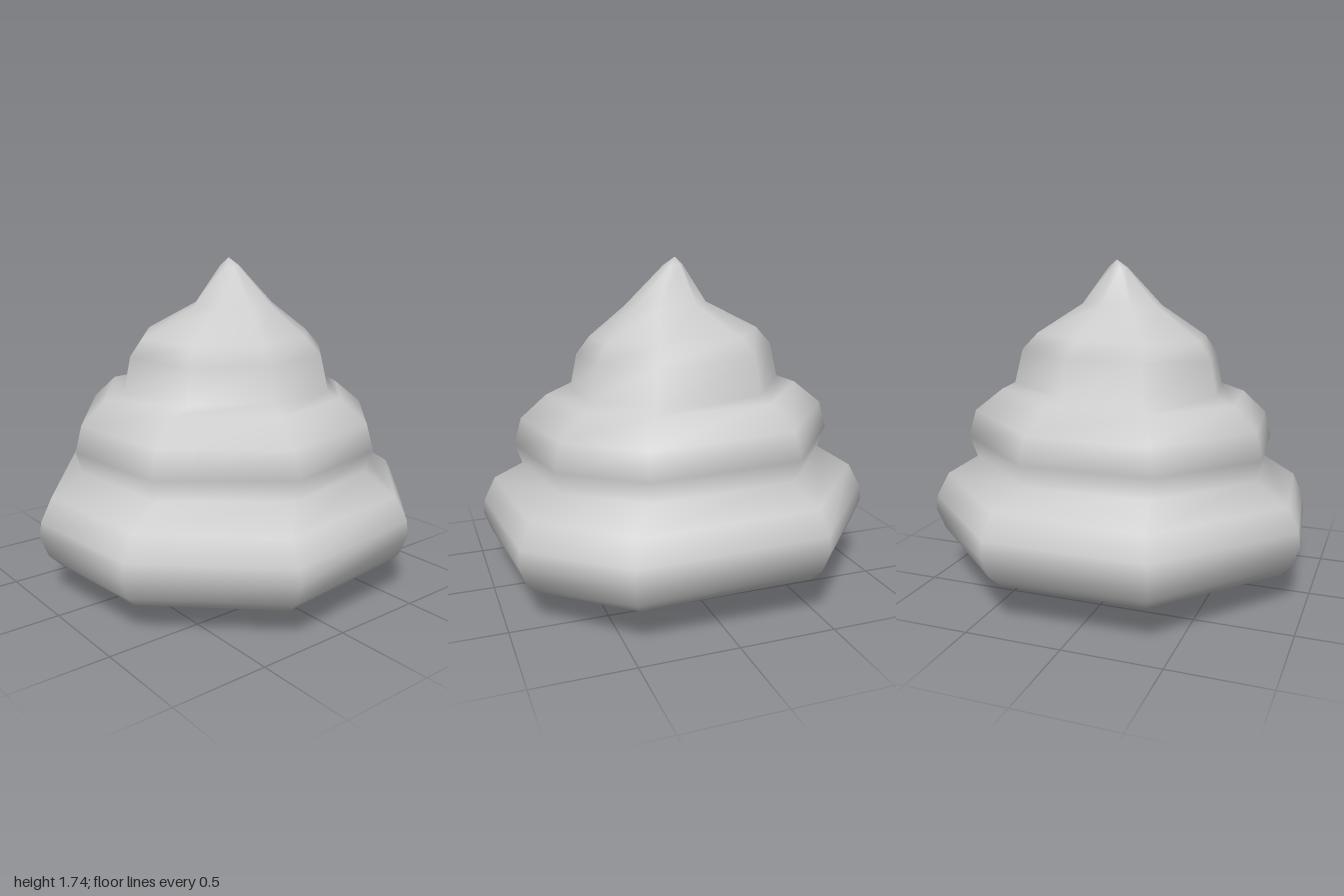
import * as THREE from 'three';

// Eight-sided outlines [x, z] of the three tiers, starting at the back
const LOW = [[-0.47, -0.98], [0.5, -0.96], [0.94, -0.53], [1, 0.29], [0.45, 0.89], [-0.23, 0.97], [-0.95, 0.41], [-1, -0.4]];
const MID = [[-0.39, -0.8], [0.37, -0.8], [0.74, -0.46], [0.83, 0.14], [0.4, 0.69], [-0.2, 0.76], [-0.74, 0.36], [-0.82, -0.28]];
const TOP = [[-0.28, -0.57], [0.26, -0.58], [0.52, -0.34], [0.54, 0.04], [0.31, 0.42], [-0.13, 0.5], [-0.47, 0.22], [-0.56, -0.18]];

// Rings from the ground up: outline, scale, height, shift in x, shift in z
const RINGS = [
  [LOW, 0.2, 0.005], [LOW, 0.45, 0.04], [LOW, 0.9, 0.19], [LOW, 0.96, 0.25],
  [LOW, 1, 0.36], [LOW, 0.99, 0.44], [LOW, 0.93, 0.565],
  [MID, 0.955, 0.665], [MID, 1, 0.78], [MID, 0.955, 0.92], [MID, 0.79, 1.04],
  [TOP, 1, 1.075], [TOP, 0.93, 1.255], [TOP, 0.8, 1.345],
  [TOP, 0.38, 1.5, 0.05, -0.05], [TOP, 0.09, 1.7, 0.01, -0.08],
];
const APEX = [0, 1.74, -0.09];
const TILT = -0.027; // the coils lean down toward the front left

function createSwirlGeometry() {
  const n = 8;
  const points = [];
  const index = [];
  for (const [outline, s, y, dx = 0, dz = 0] of RINGS) {
    for (const [x, z] of outline) {
      points.push(x * s + dx, Math.max(0, y + TILT * s * (x + z)), z * s + dz);
    }
  }
  const base = RINGS.length * n;
  points.push(0, 0, 0, ...APEX);

  for (let i = 0; i < n; i++) {
    const k = (i + 1) % n;
    index.push(base, i, k); // underside
    for (let r = 0; r < RINGS.length - 1; r++) {
      const a = r * n, b = a + n;
      index.push(a + k, a + i, b + i, a + k, b + i, b + k);
    }
    index.push(base - n + k, base - n + i, base + 1); // tip
  }

  const geometry = new THREE.BufferGeometry();
  geometry.setAttribute('position', new THREE.Float32BufferAttribute(points, 3));
  geometry.setIndex(index);
  geometry.computeVertexNormals();
  return geometry;
}

export function createModel() {
  const group = new THREE.Group();
  group.name = 'softSwirl';
  const swirl = new THREE.Mesh(createSwirlGeometry(), new THREE.MeshStandardMaterial({ color: 0xcccccc }));
  swirl.name = 'swirlBody';
  group.add(swirl);
  return group;
}
